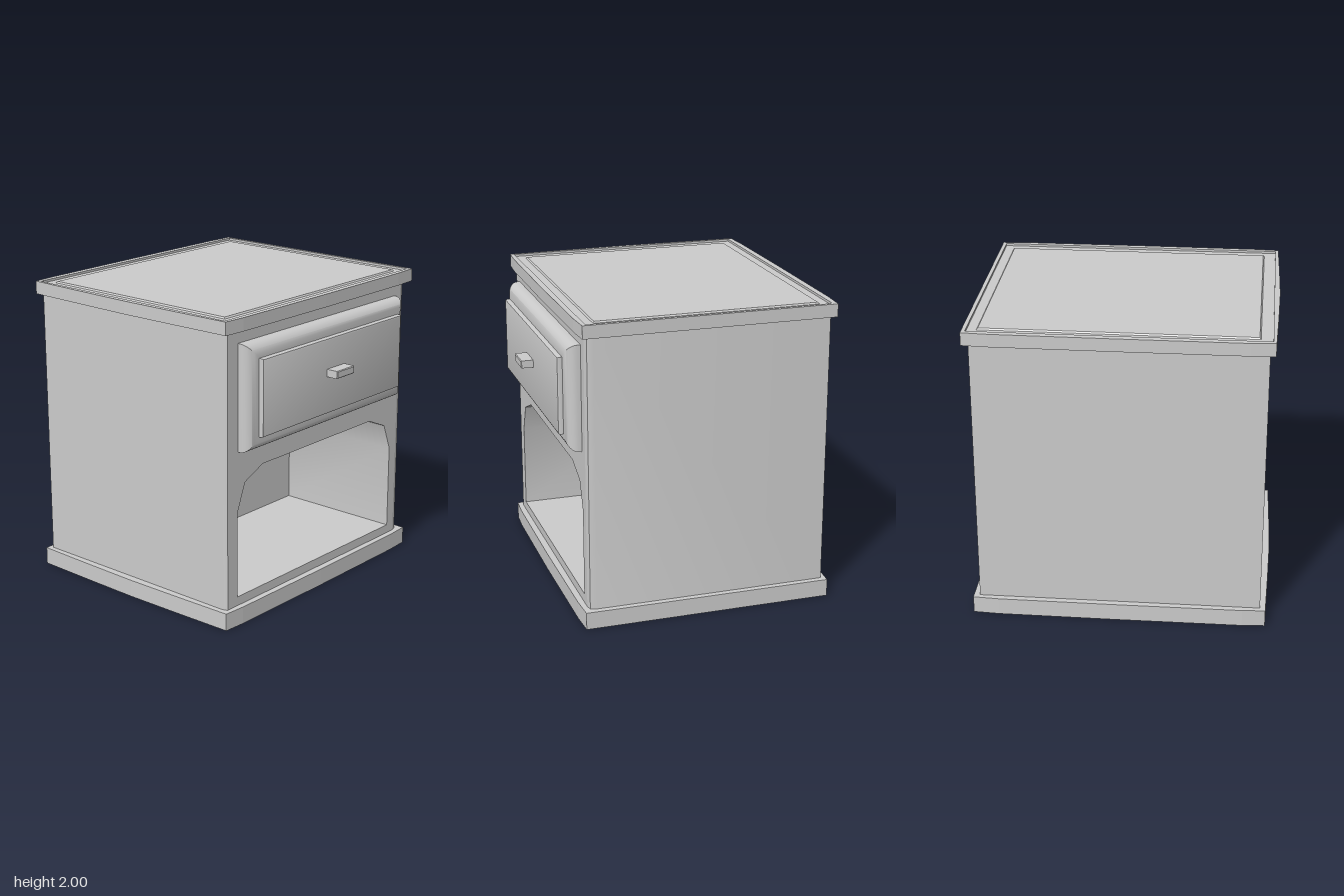
import * as THREE from 'three';
import { toCreasedNormals } from 'three/addons/utils/BufferGeometryUtils.js';

const material = new THREE.MeshStandardMaterial({ color: 0xcccccc });
const openMaterial = new THREE.MeshStandardMaterial({ color: 0xcccccc, side: THREE.DoubleSide });

const toShape = pts => new THREE.Shape(pts.map(p => new THREE.Vector2(p[0], p[1])));

function part(name, geometry, mat = material) {
  const mesh = new THREE.Mesh(geometry, mat);
  mesh.name = name;
  return mesh;
}

// Skin a list of cross-sections that all have the same number of points
function skin(sections, { closed = false, cap = false } = {}) {
  const pos = [];
  const n = sections[0].length;
  for (let s = 0; s < sections.length - 1; s++) {
    const a = sections[s], b = sections[s + 1];
    for (let i = 0; i < (closed ? n : n - 1); i++) {
      const j = (i + 1) % n;
      pos.push(...a[i], ...a[j], ...b[j], ...a[i], ...b[j], ...b[i]);
    }
  }
  if (cap) {
    const e = sections[sections.length - 1];
    for (let i = 1; i < n - 1; i++) pos.push(...e[0], ...e[i], ...e[i + 1]);
  }
  const g = new THREE.BufferGeometry();
  g.setAttribute('position', new THREE.Float32BufferAttribute(pos, 3));
  g.computeVertexNormals();
  return toCreasedNormals(g, 0.6);
}

// Rectangular panel rising along +z, with an edge profile of [inset, height]
function mouldedPanel(u0, u1, v0, v1, profile) {
  return skin(profile.map(([d, h]) => [
    [u0 + d, v0 + d, h], [u1 - d, v0 + d, h], [u1 - d, v1 - d, h], [u0 + d, v1 - d, h],
  ]), { closed: true, cap: true });
}

// Horizontal slab from a plan outline, z given as minus y
function slab(shape, y, height) {
  return new THREE.ExtrudeGeometry(shape, { depth: height, bevelEnabled: false })
    .rotateX(-Math.PI / 2).translate(0, y, 0);
}

export function createModel() {
  const model = new THREE.Group();
  const faceX = 0.71, backX = -0.18;

  // Slightly bowed plan shared by the base and the top
  const plan = [
    [-0.91, -0.95], [-0.5, -0.96], [-0.08, -0.967], [0.33, -0.96], [0.74, -0.95],
    [0.75, -0.8], [0.755, 0], [0.75, 0.8], [0.74, 0.97],
    [-0.91, 0.97], [-0.92, 0.8], [-0.923, 0], [-0.92, -0.8],
  ];
  model.add(part('base', slab(toShape(plan), 0, 0.115)));

  // Top: board, raised rim and inset panel
  const top = new THREE.Group();
  top.name = 'top';
  const rim = toShape(plan);
  rim.holes.push(toShape([[-0.88, -0.93], [-0.88, 0.945], [0.715, 0.945], [0.715, -0.93]]));
  top.add(
    part('topBoard', slab(toShape(plan), 1.915, 0.07)),
    part('topRim', slab(rim, 1.985, 0.015)),
    part('topPanel', mouldedPanel(-0.82, 0.65, -0.855, 0.885, [[0, 0], [0.008, 0.01]])
      .rotateX(-Math.PI / 2).translate(0, 1.985, 0)),
  );
  model.add(top);

  // Sides and back, with softened front corners
  const wall = [
    [faceX, 0.9], [0.695, 0.91], [0.66, 0.915], [-0.88, 0.915],
    [-0.88, -0.93], [0.66, -0.93], [0.7, -0.915], [faceX, -0.88],
  ];
  const level = y => wall.map(([x, z]) => [x, y, z]);
  model.add(part('sidesAndBack', skin([level(0.115), level(1.915)]), openMaterial));

  // Front frame and the open compartment, drawn facing +z and turned to +x
  const front = new THREE.Group();
  front.name = 'front';
  front.rotation.y = Math.PI / 2;
  const opening = [
    [-0.805, 0.175], [0.81, 0.175], [0.81, 0.75], [0.74, 0.93],
    [0.565, 1.005], [-0.565, 1.005], [-0.735, 0.93], [-0.805, 0.75],
  ];
  const frame = toShape([[-0.9, 0.115], [0.88, 0.115], [0.88, 1.915], [-0.9, 1.915]]);
  frame.holes.push(toShape(opening));
  const at = x => opening.map(([u, v]) => [u, v, x]);
  front.add(
    part('frontFrame', new THREE.ShapeGeometry(frame).translate(0, 0, faceX), openMaterial),
    part('compartmentWalls', skin([at(backX), at(faceX)], { closed: true }), openMaterial),
    part('compartmentBack', new THREE.ShapeGeometry(toShape(opening)).translate(0, 0, backX), openMaterial),
  );

  // Drawer: rounded border, raised centre and pull
  const border = [[0, faceX], [0, 0.73]];
  for (let i = 1; i <= 8; i++) {
    const a = (i / 8) * Math.PI / 2;
    border.push([0.085 * (1 - Math.cos(a)), 0.73 + 0.073 * Math.sin(a)]);
  }
  front.add(
    part('drawerBorder', mouldedPanel(-0.805, 0.81, 1.145, 1.835, border)),
    part('drawerPanel', mouldedPanel(-0.715, 0.72, 1.24, 1.74,
      [[0, 0.8], [0, 0.825], [0.004, 0.834], [0.014, 0.838]])),
    part('drawerPull', mouldedPanel(-0.085, 0.095, 1.49, 1.54,
      [[0, 0.83], [0, 0.915], [0.005, 0.92]])),
  );
  model.add(front);
  return model;
}
